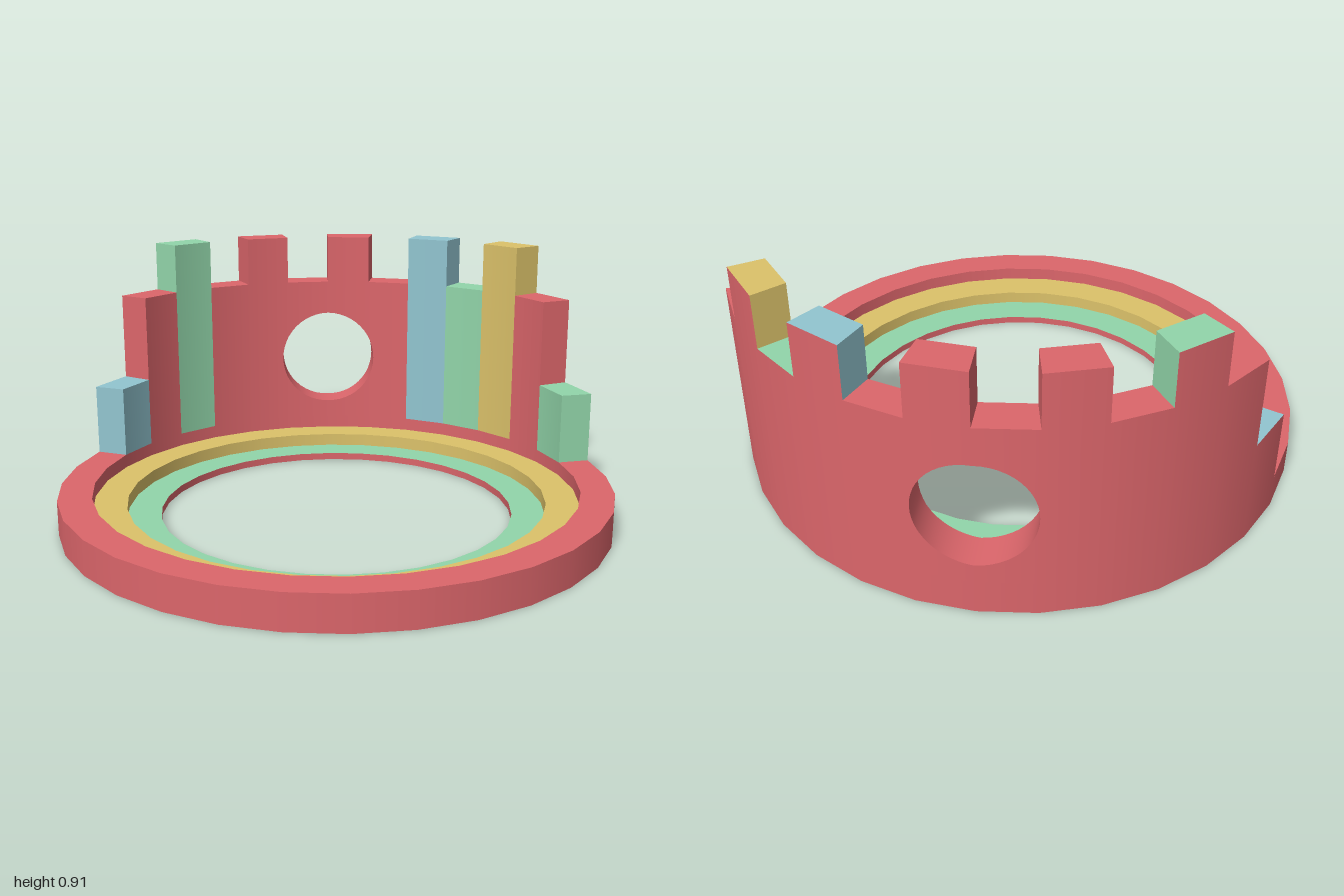
import * as THREE from 'three';

const RED = 0xdc666b, GREEN = 0x92d6aa, GOLD = 0xdcc26a, BLUE = 0x92c5d0;
const SIDES = 32, STEP = (Math.PI * 2) / SIDES;
const OUT = 1, IN = 0.88, RIM = 0.125;
const LOW = 0.39, MID = 0.72, HIGH = 0.91;
const HOLE_R = 0.195, HOLE_Y = 0.39;

// Wall cells by position: 0 starts at the middle of the back, positive towards +x
const FIRST = -6;
const CELLS = [
  [LOW, BLUE], [MID, RED], [HIGH, GREEN], [MID, RED], [HIGH, RED], [MID, RED],
  [HIGH, RED], [MID, RED], [HIGH, BLUE], [MID, GREEN], [HIGH, GOLD], [MID, RED], [LOW, GREEN],
];

// Columns that cut the wall around the round window
const holeXs = [IN * Math.sin(STEP), -IN * Math.sin(STEP)];
for (let i = 0; i <= 24; i++) holeXs.push(HOLE_R * Math.cos((i * Math.PI) / 24));
holeXs.sort((a, b) => a - b);
const halfHole = (x) => Math.sqrt(Math.max(0, HOLE_R * HOLE_R - x * x));

const V = (x, y, z) => new THREE.Vector3(x, y, z);
const corner = (k, r, y) => V(r * Math.sin(k * STEP), y, -r * Math.cos(k * STEP));
const onCell = (k, r, t, y) => corner(k, r, y).lerp(corner(k + 1, r, y), t);

// Point on the faceted back wall at a given x
function onWall(x, r, y) {
  const inner = Math.abs(x) < r * Math.sin(STEP);
  const k = x < 0 ? (inner ? -1 : -2) : (inner ? 0 : 1);
  const x0 = corner(k, r, 0).x, x1 = corner(k + 1, r, 0).x;
  return onCell(k, r, (x - x0) / (x1 - x0), y);
}

const outward = (p) => V(p.x, 0, p.z).normalize();
const inward = (p) => outward(p).negate();
const up = () => V(0, 1, 0);

// Collects quads, turning each to face along its normals
class Surface {
  constructor() { this.pos = []; this.nor = []; }
  quad(a, b, c, d, normalAt) {
    const face = c.clone().sub(a).cross(d.clone().sub(b));
    const flip = face.dot(normalAt(a).add(normalAt(c))) < 0;
    for (const p of flip ? [a, c, b, a, d, c] : [a, b, c, a, c, d]) {
      this.pos.push(...p.toArray());
      this.nor.push(...normalAt(p).toArray());
    }
  }
  mesh(name, color) {
    const g = new THREE.BufferGeometry();
    g.setAttribute('position', new THREE.Float32BufferAttribute(this.pos, 3));
    g.setAttribute('normal', new THREE.Float32BufferAttribute(this.nor, 3));
    return makeMesh(name, g, color);
  }
}

function makeMesh(name, geometry, color) {
  const m = new THREE.Mesh(geometry, new THREE.MeshStandardMaterial({ color }));
  m.name = name;
  return m;
}

// One curved face of a wall cell, left open where the window passes
function wallFace(surface, k, r, h, normalAt) {
  const x0 = corner(k, r, 0).x, x1 = corner(k + 1, r, 0).x;
  const nearHole = k >= -2 && k <= 1;
  const xs = nearHole ? [x0, ...holeXs.filter((x) => x > x0 + 1e-5 && x < x1 - 1e-5), x1] : [x0, x1];
  for (let i = 0; i < xs.length - 1; i++) {
    const ends = nearHole ? [(xs[i] - x0) / (x1 - x0), (xs[i + 1] - x0) / (x1 - x0)] : [0, 1];
    const P = (e, y) => onCell(k, r, ends[e], y);
    const open = [xs[i], xs[i + 1]].map((x) => (nearHole ? halfHole(x) : 0));
    surface.quad(P(0, RIM), P(1, RIM), P(1, HOLE_Y - open[1]), P(0, HOLE_Y - open[0]), normalAt);
    if (h > HOLE_Y) {
      surface.quad(P(0, HOLE_Y + open[0]), P(1, HOLE_Y + open[1]), P(1, h), P(0, h), normalAt);
    }
  }
}

// Stepped ring: each band is swept on its own so edges stay sharp
function buildBase() {
  const base = new THREE.Group();
  base.name = 'base';
  const bands = [
    ['underside', 0.64, 0, OUT, 0, RED],
    ['rimOutside', OUT, 0, OUT, RIM, RED],
    ['rimTop', OUT, RIM, IN, RIM, RED],
    ['rimInside', IN, RIM, IN, 0.075, RED],
    ['upperLedge', IN, 0.075, 0.76, 0.075, GOLD],
    ['upperLedgeRiser', 0.76, 0.075, 0.76, 0.027, GOLD],
    ['lowerLedge', 0.76, 0.027, 0.64, 0.027, GREEN],
    ['openingWall', 0.64, 0.027, 0.64, 0, RED],
  ];
  for (const [name, r0, y0, r1, y1, color] of bands) {
    const profile = [new THREE.Vector2(r0, y0), new THREE.Vector2(r1, y1)];
    base.add(makeMesh(name, new THREE.LatheGeometry(profile, SIDES), color));
  }
  return base;
}

function buildWall() {
  const wall = new THREE.Group();
  wall.name = 'wall';
  const skin = new Surface();

  CELLS.forEach(([h, color], i) => {
    const k = FIRST + i;
    const cell = new Surface();
    wallFace(skin, k, OUT, h, outward);
    wallFace(cell, k, IN, h, inward);
    cell.quad(corner(k, IN, h), corner(k + 1, IN, h), corner(k + 1, OUT, h), corner(k, OUT, h), up);
    // End faces, only where the cell rises above its neighbour
    for (const s of [-1, 1]) {
      const next = CELLS[i + s] ? CELLS[i + s][0] : RIM;
      if (next >= h) continue;
      const e = s > 0 ? k + 1 : k;
      const along = () => V(s * Math.cos(e * STEP), 0, s * Math.sin(e * STEP));
      cell.quad(corner(e, IN, next), corner(e, OUT, next), corner(e, OUT, h), corner(e, IN, h), along);
    }
    wall.add(cell.mesh('wallSegment' + (i + 1), color));
  });
  wall.add(skin.mesh('wallOutside', RED));

  // Round window lining
  const lining = new Surface();
  const toAxis = (p) => V(-p.x, HOLE_Y - p.y, 0).normalize();
  for (let i = 0; i < holeXs.length - 1; i++) {
    const [a, b] = [holeXs[i], holeXs[i + 1]];
    for (const s of [-1, 1]) {
      const ya = HOLE_Y + s * halfHole(a), yb = HOLE_Y + s * halfHole(b);
      lining.quad(onWall(a, OUT, ya), onWall(b, OUT, yb), onWall(b, IN, yb), onWall(a, IN, ya), toAxis);
    }
  }
  wall.add(lining.mesh('windowLining', RED));
  return wall;
}

export function createModel() {
  const model = new THREE.Group();
  model.name = 'crenellatedRing';
  model.add(buildBase(), buildWall());
  return model;
}
